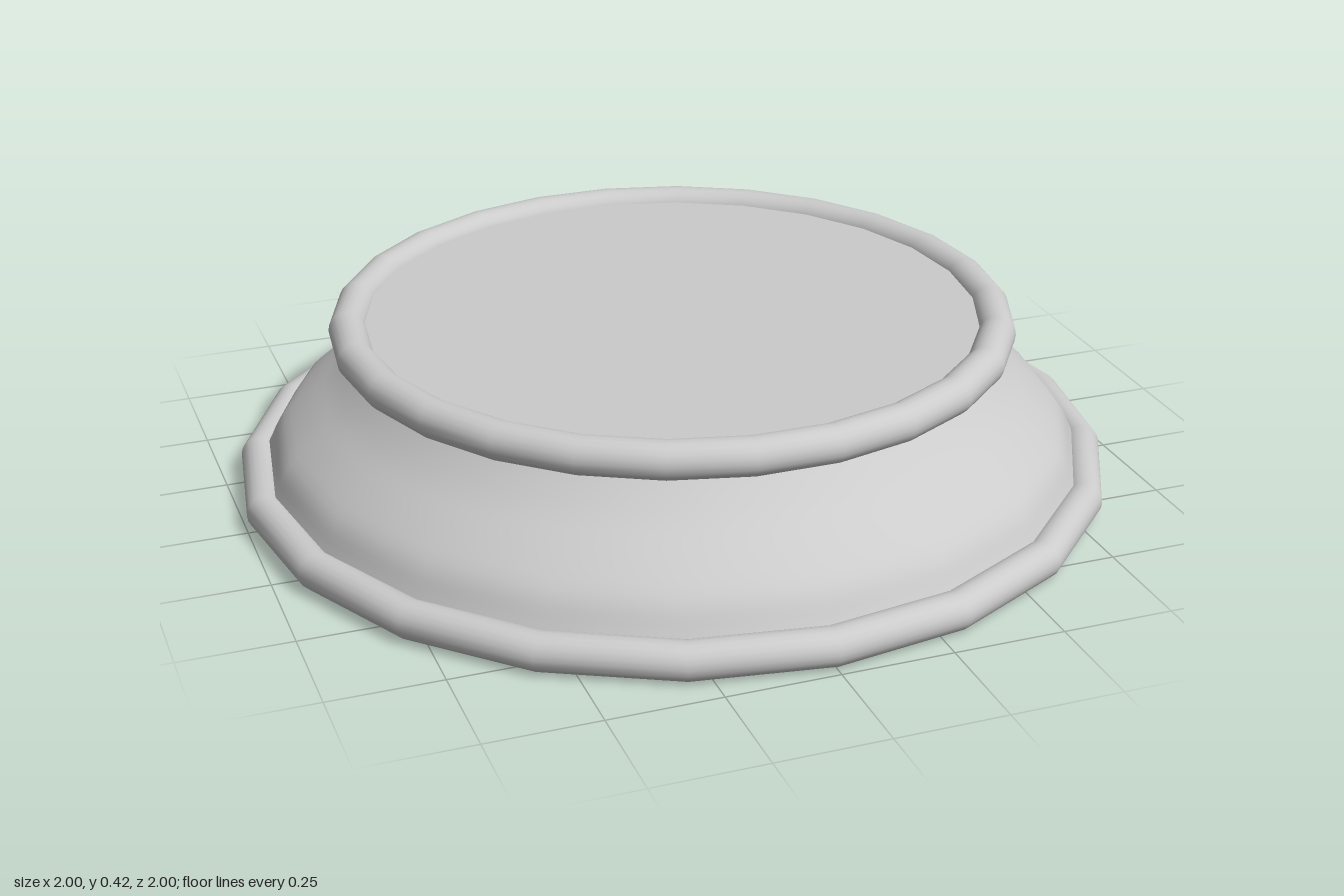
import * as THREE from 'three';

const LOWER_SIDES = 20;
const UPPER_SIDES = 26;

// Ratio of a regular polygon's edge distance to its corner radius at an angle
function polygonRatio(angle, sides) {
  const step = (2 * Math.PI) / sides;
  const local = (((angle % step) + step) % step) - step / 2;
  return Math.cos(step / 2) / Math.cos(local);
}

export function createModel() {
  const group = new THREE.Group();
  const material = new THREE.MeshStandardMaterial({ color: 0xcccccc });

  function add(name, geometry, y = 0) {
    const mesh = new THREE.Mesh(geometry, material);
    mesh.name = name;
    mesh.position.y = y;
    group.add(mesh);
  }

  const ring = (radius, tube, sides) =>
    new THREE.TorusGeometry(radius, tube, 20, sides).rotateX(Math.PI / 2);
  const disc = (radius, sides, facing) =>
    new THREE.CircleGeometry(radius, sides).rotateX(-facing * Math.PI / 2);

  // Rounded rims and the flat faces they frame
  add('lowerRim', ring(0.9575, 0.0425, LOWER_SIDES), 0.0425);
  add('underside', disc(0.9575, LOWER_SIDES, -1));
  add('upperRim', ring(0.735, 0.0425, UPPER_SIDES), 0.3775);
  add('topPlate', disc(0.696, UPPER_SIDES, 1), 0.393);

  // Flared body, blending from the lower polygon to the upper one
  const profile = new THREE.SplineCurve([
    [0.94, 0.065], [0.928, 0.09], [0.9, 0.145], [0.84, 0.202],
    [0.77, 0.262], [0.705, 0.335], [0.692, 0.37],
  ].map(([r, y]) => new THREE.Vector2(r, y))).getPoints(20);
  const body = new THREE.LatheGeometry(profile, 260);
  const pos = body.attributes.position;
  for (let i = 0; i < pos.count; i++) {
    const x = pos.getX(i), z = pos.getZ(i);
    const angle = Math.atan2(z, x);
    const t = THREE.MathUtils.clamp((pos.getY(i) - 0.085) / 0.25, 0, 1);
    const k = THREE.MathUtils.lerp(
      polygonRatio(angle, LOWER_SIDES), polygonRatio(angle, UPPER_SIDES), t);
    pos.setX(i, x * k);
    pos.setZ(i, z * k);
  }
  add('flaredBody', body);

  return group;
}
